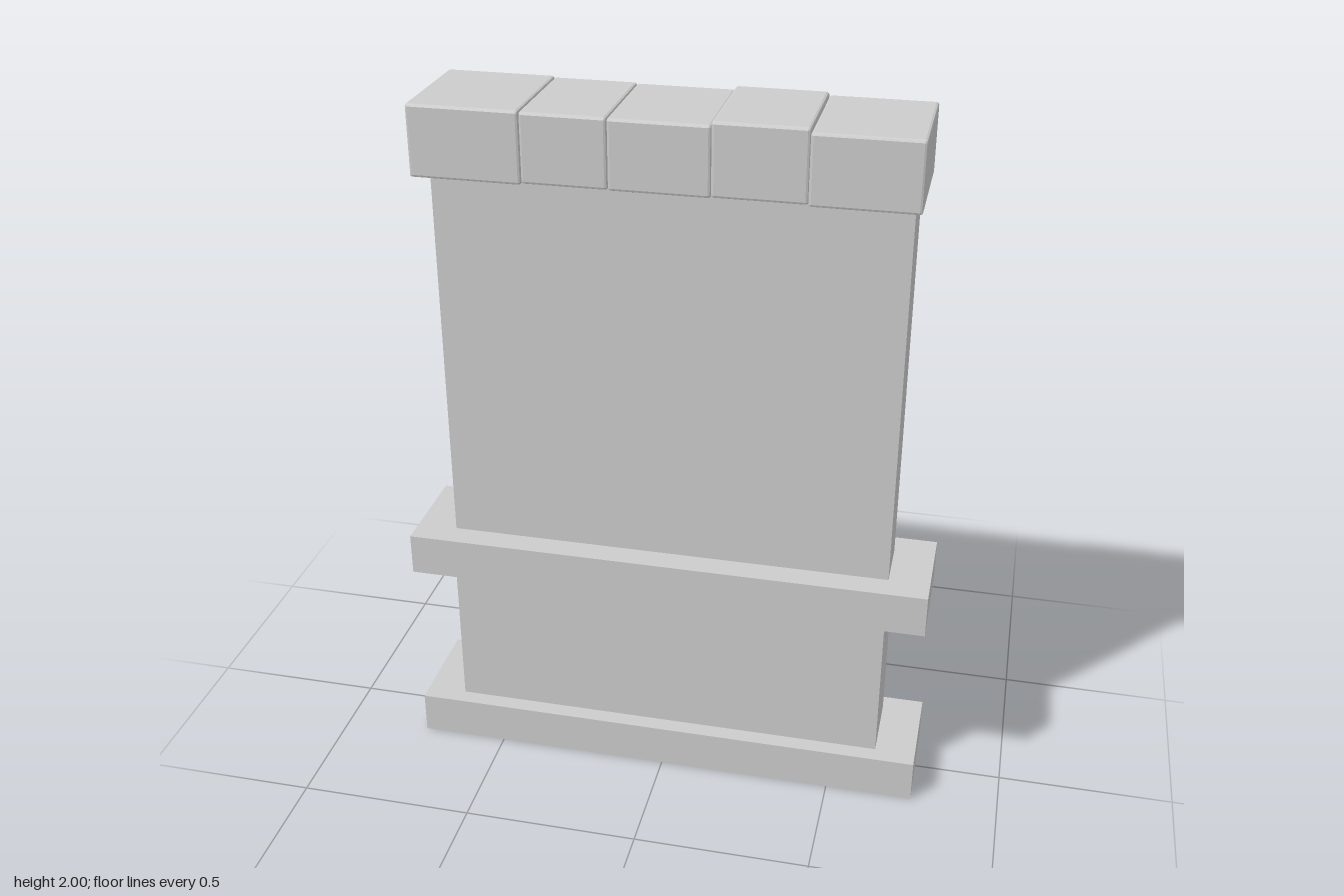
import * as THREE from 'three';
import { RoundedBoxGeometry } from 'three/addons/geometries/RoundedBoxGeometry.js';

export function createModel() {
  const group = new THREE.Group();
  const material = new THREE.MeshStandardMaterial({ color: 0xcccccc, flatShading: true });

  const add = (name, geometry, x, y) => {
    const mesh = new THREE.Mesh(geometry, material);
    mesh.name = name;
    mesh.position.set(x, y, 0);
    group.add(mesh);
  };

  // Wall courses: name, width, depth, bottom, top
  const courses = [
    ['basePlinth', 1.5, 0.306, 0, 0.125],
    ['lowerWall', 1.268, 0.21, 0.125, 0.578],
    ['middleLedge', 1.5, 0.306, 0.578, 0.7],
    ['upperWall', 1.268, 0.158, 0.7, 1.815],
  ];
  for (const [name, width, depth, y0, y1] of courses) {
    add(name, new THREE.BoxGeometry(width, y1 - y0, depth), 0, (y0 + y1) / 2);
  }

  // Uneven coping stones with chamfered edges: left x, right x, depth, bottom, top
  const stones = [
    [-0.656, -0.358, 0.336, 1.802, 1.995],
    [-0.358, -0.132, 0.33, 1.805, 1.992],
    [-0.132, 0.132, 0.325, 1.803, 1.99],
    [0.132, 0.376, 0.325, 1.805, 2],
    [0.376, 0.656, 0.333, 1.802, 1.99],
  ];
  stones.forEach(([x0, x1, depth, y0, y1], i) => {
    const geometry = new RoundedBoxGeometry(x1 - x0, y1 - y0, depth, 1, 0.007);
    add(`copingStone${i + 1}`, geometry, (x0 + x1) / 2, (y0 + y1) / 2);
  });

  return group;
}
